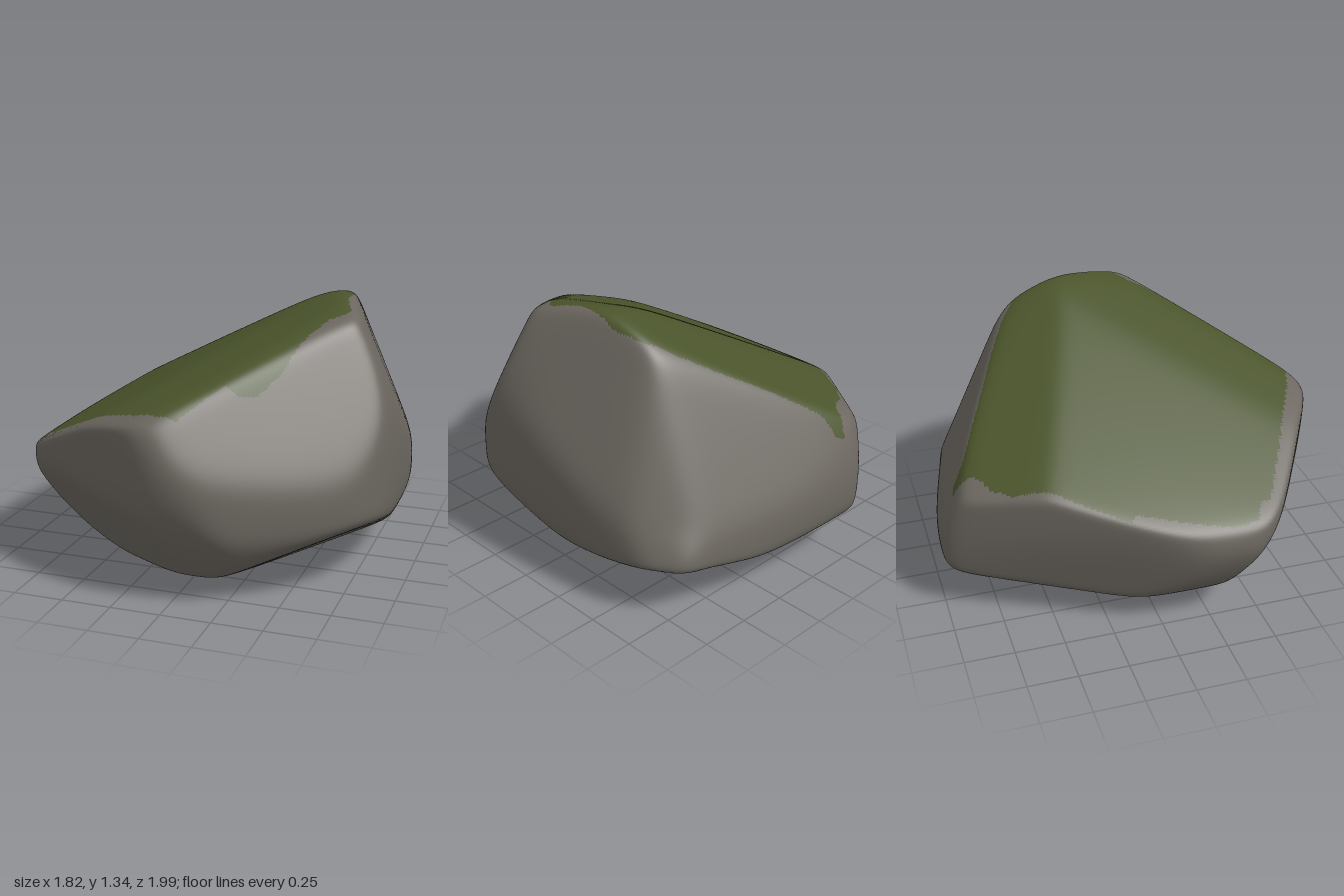
import * as THREE from 'three';
import { mergeVertices } from 'three/addons/utils/BufferGeometryUtils.js';

const rockGrey = new THREE.MeshStandardMaterial({ color: 0x6b665f });
rockGrey.name = 'rockGrey';
const mossGreen = new THREE.MeshStandardMaterial({ color: 0x4a542b });
mossGreen.name = 'mossGreen';

const CENTRE_Y = 0.6;
const SHARPNESS = 46;
const BLEND_ALLOWANCE = 1.03; // makes up for what the soft blend takes off the edges
const KNOB = new THREE.Vector3(0.72, -0.27, -0.82).normalize();

// Slanted facets as planes: normal x, y, z and offset
const FACETS = [
  [-0.53, 1, 0.05, 1.085],       // main sloping top
  [-0.35, 1, 0.2, 1.125],        // top, falling to the front left
  [-0.404, 1, -0.41, 1.215],     // narrow top strip behind the ridge
  [0.162, 0.309, -0.672, 0.777], // back
  [0.627, 0.355, -0.69, 1.095],  // bevel between back and left flank
  [0.886, 0.387, -0.253, 1.08],  // left flank, upper back
  [0.52, 0.43, 0.74, 1.055],     // front left
  [0.45, -0.55, 0.7, 0.56],      // front left undercut
  [-0.48, -0.15, 0.86, 0.79],    // front right
  [-0.447, -0.554, 0.704, 0.46], // front right undercut
  [-0.88, -0.25, -0.4, 0.61],    // right flank
  [-0.22, -1, -0.2, 0.02],       // underside, right
  [0.22, -1, -0.2, 0.02],        // underside, left
  [0.457, -0.845, 0.276, 0.19],  // underside, front left
];

// Convex outlines across the width (x, y), depth (z, y) and plan (x, z)
const WIDTH_OUTLINE = [
  [-0.1, 0.003], [0.2, 0.022], [0.4, 0.06], [0.72, 0.14], [0.83, 0.2], [0.89, 0.33], [0.91, 0.55],
  [0.9, 0.77], [0.83, 1.04], [0.77, 1.18], [0.66, 1.32], [0.6, 1.35], [0.44, 1.335], [-0.8, 0.65],
  [-0.87, 0.6], [-0.91, 0.5], [-0.83, 0.31], [-0.75, 0.2], [-0.63, 0.11], [-0.4, 0.035],
];
const DEPTH_OUTLINE = [
  [0, 0.003], [0.3, 0.015], [0.72, 0.1], [0.82, 0.21], [0.91, 0.36], [0.98, 0.55], [1, 0.7],
  [0.95, 0.88], [0.9, 0.93], [0.77, 1], [0.2, 1.28], [-0.05, 1.34], [-0.13, 1.35], [-0.38, 1.27],
  [-0.5, 1.18], [-0.78, 0.87], [-0.93, 0.62], [-0.99, 0.45], [-1, 0.37], [-0.98, 0.27],
  [-0.9, 0.21], [-0.6, 0.1], [-0.37, 0.03],
];
const PLAN_OUTLINE = [
  [-0.3, -1], [-0.15, -1], [0.27, -0.92], [0.72, -0.82], [0.8, -0.74], [0.88, -0.4], [0.91, 0.2],
  [0.87, 0.4], [0.78, 0.55], [0.66, 0.65], [0.15, 0.96], [0, 1], [-0.12, 0.97], [-0.77, 0.59],
  [-0.88, 0.47], [-0.91, 0.37], [-0.89, 0.1], [-0.78, -0.2], [-0.55, -0.65], [-0.38, -0.94],
];

// Ragged rim of the moss in plan (x, z)
const MOSS_RIM = [
  [-0.28, -0.93], [-0.23, -0.91], [-0.19, -0.85], [0.12, -0.68], [0.3, -0.59], [0.45, -0.5],
  [0.57, -0.4], [0.61, -0.27], [0.61, -0.02], [0.66, 0.13], [0.64, 0.17], [0.58, 0.22],
  [0.5, 0.37], [0.44, 0.52], [0.35, 0.64], [0.27, 0.69], [0.21, 0.69], [0.13, 0.79],
  [0.05, 0.89], [-0.04, 0.9], [-0.16, 0.86], [-0.5, 0.68], [-0.77, 0.53], [-0.78, 0.48],
  [-0.86, 0.43], [-0.87, 0.3], [-0.82, 0.08], [-0.75, -0.15], [-0.78, -0.17], [-0.75, -0.23],
  [-0.68, -0.36], [-0.57, -0.54], [-0.52, -0.68], [-0.44, -0.76], [-0.33, -0.82],
];

// Each outline edge becomes a plane; toSpace places the 2D normal in 3D
function outlinePlanes(points, toSpace) {
  return points.map(([au, av], i) => {
    const [bu, bv] = points[(i + 1) % points.length];
    const length = Math.hypot(bu - au, bv - av);
    const nu = (bv - av) / length;
    const nv = (au - bu) / length;
    return [...toSpace(nu, nv), nu * au + nv * av];
  });
}

// Plane normals divided by their distance from the centre
const SLOPES = [
  ...FACETS,
  ...outlinePlanes(WIDTH_OUTLINE, (u, v) => [u, v, 0]),
  ...outlinePlanes(DEPTH_OUTLINE, (u, v) => [0, v, u]),
  ...outlinePlanes(PLAN_OUTLINE, (u, v) => [u, 0, v]),
].map(([x, y, z, offset]) =>
  new THREE.Vector3(x, y, z).divideScalar((offset - CENTRE_Y * y) * BLEND_ALLOWANCE));

// Distance from the centre to the softly blended planes
function radius(d) {
  let sum = 0;
  for (const slope of SLOPES) sum += Math.pow(Math.max(0, slope.dot(d)), SHARPNESS);
  const knob = 0.02 * Math.exp(-(1 - d.dot(KNOB)) / 0.004);
  return Math.pow(sum, -1 / SHARPNESS) + knob;
}

function insideRim(x, z) {
  let inside = false;
  MOSS_RIM.forEach(([ax, az], i) => {
    const [bx, bz] = MOSS_RIM[(i + 1) % MOSS_RIM.length];
    if ((az > z) !== (bz > z) && x < ax + ((z - az) / (bz - az)) * (bx - ax)) inside = !inside;
  });
  return inside;
}

function boulderGeometry() {
  let geo = new THREE.IcosahedronGeometry(1, 74);
  geo.deleteAttribute('uv');
  geo.deleteAttribute('normal');
  geo = mergeVertices(geo, 1e-5);
  const pos = geo.attributes.position;
  const d = new THREE.Vector3();
  for (let i = 0; i < pos.count; i++) {
    d.fromBufferAttribute(pos, i).normalize();
    d.multiplyScalar(radius(d));
    pos.setXYZ(i, d.x, d.y, d.z);
  }
  // Stand it on the ground
  geo.computeBoundingBox();
  geo.translate(0, -geo.boundingBox.min.y, 0);
  geo.computeVertexNormals();
  return geo;
}

export function createModel() {
  const group = new THREE.Group();
  group.name = 'mossyBoulder';
  const geo = boulderGeometry();
  const { position, normal } = geo.attributes;
  const index = geo.index.array;

  // Share the surface between bare stone and the upward-facing moss cap
  const stone = [];
  const moss = [];
  for (let i = 0; i < index.length; i += 3) {
    const tri = [index[i], index[i + 1], index[i + 2]];
    const mean = (attribute, axis) =>
      tri.reduce((sum, v) => sum + attribute.array[v * 3 + axis], 0) / 3;
    const mossy = mean(normal, 1) > 0.3 && insideRim(mean(position, 0), mean(position, 2));
    (mossy ? moss : stone).push(...tri);
  }

  const addPart = (name, faces, material) => {
    const part = new THREE.BufferGeometry();
    part.setAttribute('position', position);
    part.setAttribute('normal', normal);
    part.setIndex(faces);
    const mesh = new THREE.Mesh(part, material);
    mesh.name = name;
    group.add(mesh);
  };
  addPart('boulder', stone, rockGrey);
  addPart('mossCap', moss, mossGreen);
  return group;
}
